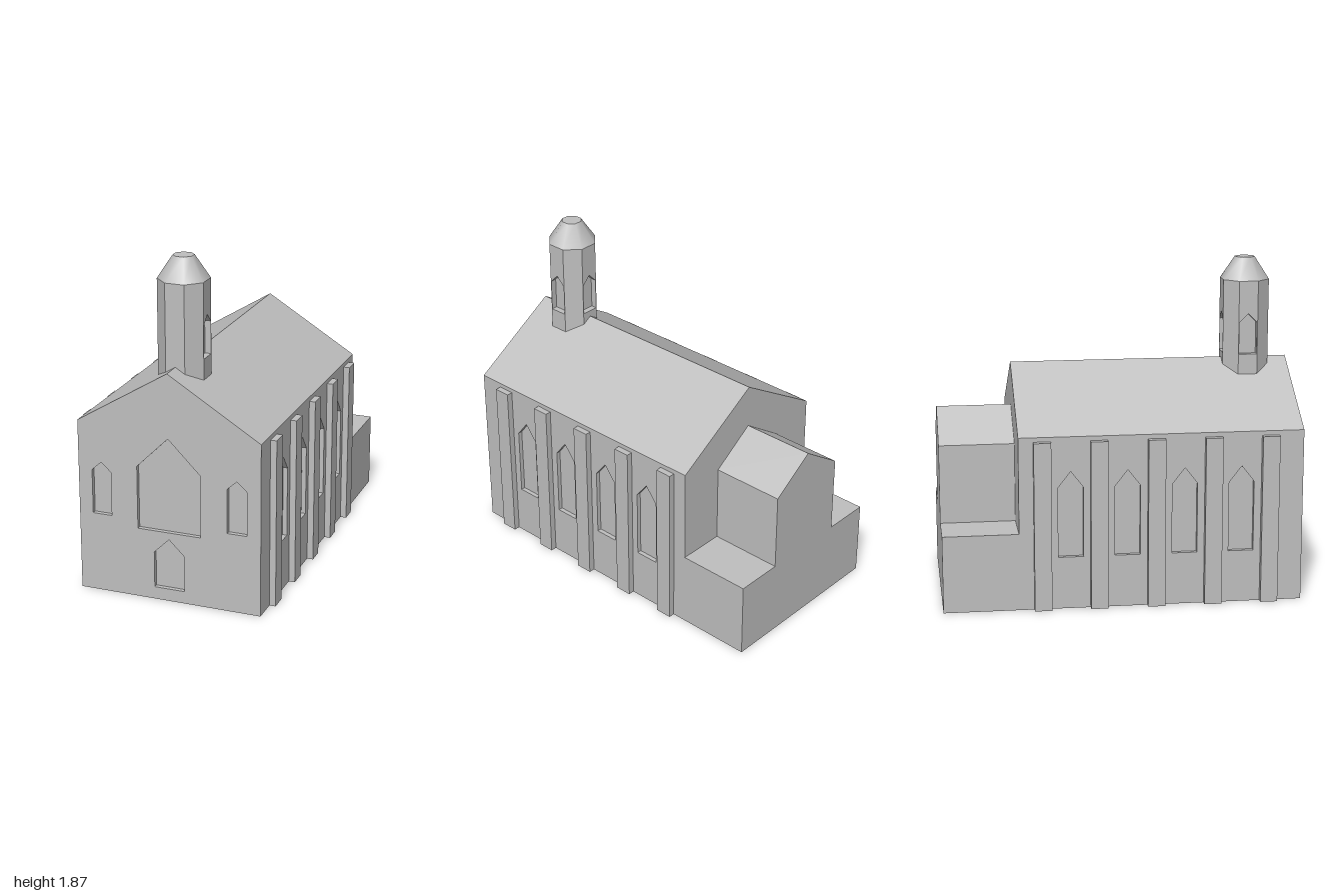
import * as THREE from 'three';
import { mergeGeometries } from 'three/addons/utils/BufferGeometryUtils.js';

const vec = (points) => points.map(([x, y]) => new THREE.Vector2(x, y));

// Pointed opening outline, counter-clockwise
const lancet = (cx, half, bottom, shoulder, apex) => [
  [cx - half, bottom], [cx + half, bottom], [cx + half, shoulder], [cx, apex], [cx - half, shoulder],
];

// Flat four-cornered face, corners counter-clockwise seen from outside
function quad(a, b, c, d) {
  const g = new THREE.BufferGeometry();
  g.setAttribute('position', new THREE.Float32BufferAttribute([a, b, c, a, c, d].flat(), 3));
  g.setAttribute('uv', new THREE.Float32BufferAttribute(new Array(12).fill(0), 2));
  g.computeVertexNormals();
  return g;
}

// Wall in the xy plane facing +z, with recessed openings
function wallGeometry(outline, openings = [], depth = 0.025) {
  const face = new THREE.Shape(vec(outline));
  face.holes = openings.map((o) => new THREE.Path(vec(o)));
  const parts = [new THREE.ShapeGeometry(face).toNonIndexed()];
  for (const o of openings) {
    parts.push(new THREE.ShapeGeometry(new THREE.Shape(vec(o))).translate(0, 0, -depth).toNonIndexed());
    o.forEach(([x, y], i) => {
      const [u, v] = o[(i + 1) % o.length];
      parts.push(quad([x, y, 0], [u, v, 0], [u, v, -depth], [x, y, -depth]));
    });
  }
  return mergeGeometries(parts);
}

export function createModel() {
  const stone = new THREE.MeshStandardMaterial({ color: 0xbfbfbf });
  stone.name = 'grey stone';
  const model = new THREE.Group();
  model.name = 'church';

  const add = (name, geometry, parent = model) => {
    const mesh = new THREE.Mesh(geometry, stone);
    mesh.name = name;
    parent.add(mesh);
    return mesh;
  };

  const W = 0.52, EAVE = 0.975, RIDGE = 1.295, FRONT = 1, BACK = -0.58;
  const gable = [[-W, 0], [W, 0], [W, EAVE], [0, RIDGE], [-W, EAVE]];

  // Nave gables: great window, two small windows and door in front
  add('frontWall', wallGeometry(gable, [
    lancet(0, 0.18, 0.4, 0.755, 0.935),
    lancet(-0.387, 0.055, 0.45, 0.7, 0.75),
    lancet(0.387, 0.055, 0.45, 0.7, 0.75),
    lancet(0, 0.087, 0.07, 0.275, 0.36),
  ])).position.z = FRONT;
  const backWall = add('backWall', wallGeometry(gable));
  backWall.rotation.y = Math.PI;
  backWall.position.z = BACK;

  // Side walls with a window in each bay, and buttresses between the bays
  const buttressZ = [0.812, 0.495, 0.178, -0.139, -0.451];
  const bays = buttressZ.slice(1).map((z, i) => (z + buttressZ[i]) / 2);
  for (const side of [-1, 1]) {
    const label = side > 0 ? 'left' : 'right';
    const a = Math.min(-side * FRONT, -side * BACK);
    const b = Math.max(-side * FRONT, -side * BACK);
    const wall = add(label + 'Wall', wallGeometry(
      [[a, 0], [b, 0], [b, EAVE], [a, EAVE]],
      bays.map((z) => lancet(-side * z, 0.07, 0.295, 0.69, 0.78)),
    ));
    wall.rotation.y = side * Math.PI / 2;
    wall.position.x = side * W;
    for (const z of buttressZ) {
      add(label + 'Buttress', new THREE.BoxGeometry(0.045, 0.95, 0.096))
        .position.set(side * (W + 0.0125), 0.475, z);
    }
  }

  // Roof slopes and floor
  add('leftRoof', quad([W, EAVE, FRONT], [W, EAVE, BACK], [0, RIDGE, BACK], [0, RIDGE, FRONT]));
  add('rightRoof', quad([-W, EAVE, BACK], [-W, EAVE, FRONT], [0, RIDGE, FRONT], [0, RIDGE, BACK]));
  add('floor', quad([-W, 0, BACK], [W, 0, BACK], [W, 0, FRONT], [-W, 0, FRONT]));

  // Gabled chancel rising from the low rear block
  const chancel = new THREE.Shape(vec([
    [-W, 0], [W, 0], [W, 0.435], [0.25, 0.435], [0.25, 0.88],
    [0, 1.05], [-0.25, 0.88], [-0.25, 0.435], [-W, 0.435],
  ]));
  add('chancel', new THREE.ExtrudeGeometry(chancel, { depth: 0.42, bevelEnabled: false })).position.z = -1;

  // Octagonal bell tower, open on both sides and at the back
  const tower = new THREE.Group();
  tower.name = 'bellTower';
  tower.position.z = 0.757;
  model.add(tower);
  const R = 0.13, half = R * Math.tan(Math.PI / 8);
  for (let i = 0; i < 8; i++) {
    const angle = i * Math.PI / 4;
    const openings = [2, 4, 6].includes(i) ? [lancet(0, 0.05, 1.33, 1.51, 1.56)] : [];
    const panel = add('towerSide', wallGeometry(
      [[-half, 1.2], [half, 1.2], [half, 1.745], [-half, 1.745]], openings, 0.035), tower);
    panel.rotation.y = angle;
    panel.position.set(R * Math.sin(angle), 0, R * Math.cos(angle));
  }

  // Blunt eight-sided cap
  const k = 1 / Math.cos(Math.PI / 8);
  const cap = add('towerCap', new THREE.CylinderGeometry(0.053 * k, R * k, 0.125, 8), tower);
  cap.rotation.y = Math.PI / 8;
  cap.position.y = 1.8075;

  return model;
}
